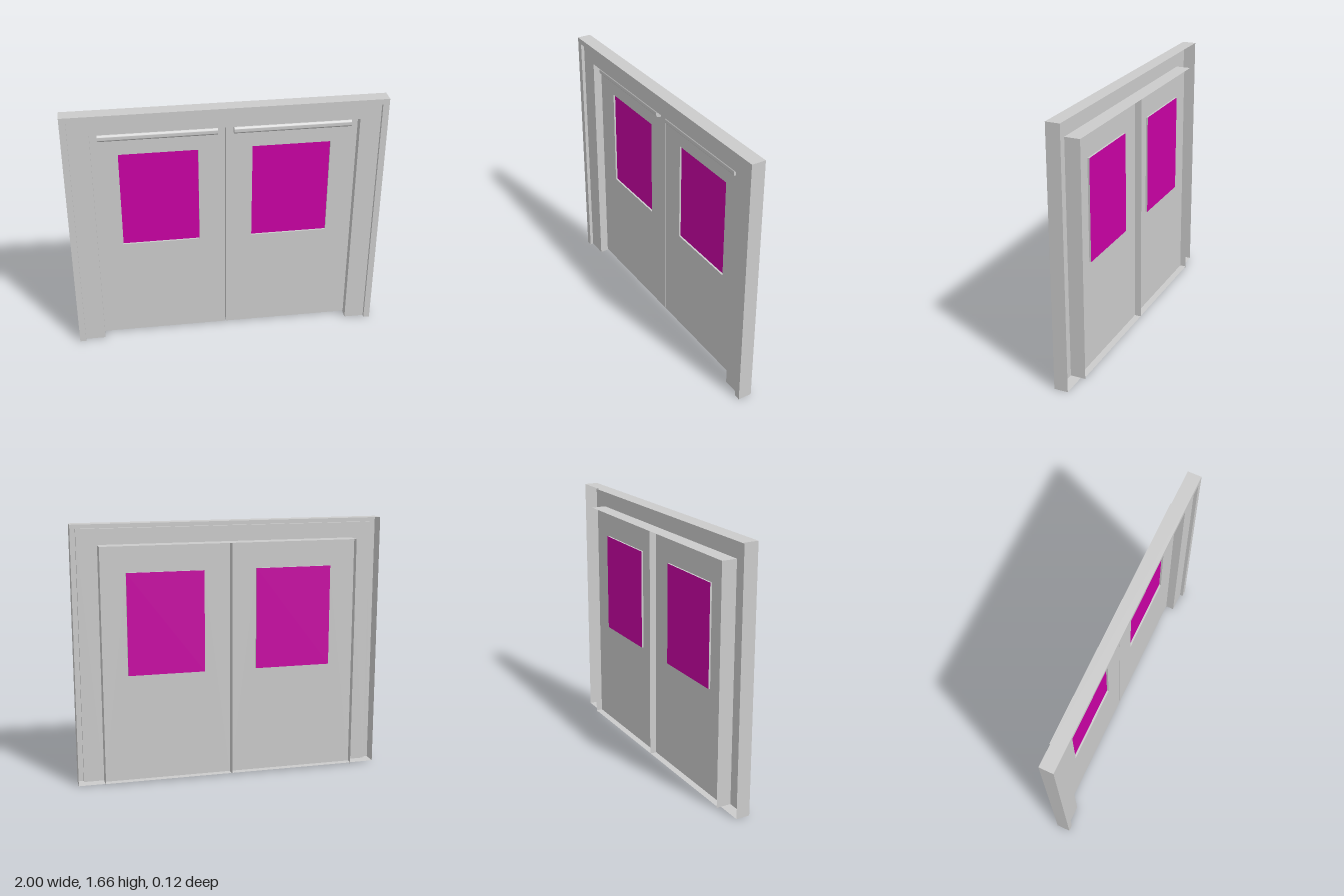
import * as THREE from 'three';
import { toCreasedNormals } from 'three/addons/utils/BufferGeometryUtils.js';

const GREY = new THREE.MeshStandardMaterial({ color: 0xcccccc, side: THREE.DoubleSide });
const GLASS = new THREE.MeshStandardMaterial({ color: 0xc900a4, side: THREE.DoubleSide });

const PANEL_Z = -0.018, PANE_Z = -0.03, BACK_Z = -0.06;
const DOOR_X = 0.83, DOOR_TOP = 1.53, DOOR_BOTTOM = 0.01, GAP = 0.003;

// Flat-faced sheet joining successive rings; a ring is { z, pts: [[x, y], ...] }
function sheet(rings, closed = false) {
  const pos = [];
  for (let r = 0; r < rings.length - 1; r++) {
    const a = rings[r], b = rings[r + 1], n = a.pts.length;
    for (let i = 0; i < (closed ? n : n - 1); i++) {
      const j = (i + 1) % n;
      const A = [...a.pts[i], a.z], B = [...a.pts[j], a.z];
      const C = [...b.pts[j], b.z], D = [...b.pts[i], b.z];
      pos.push(...A, ...B, ...C, ...A, ...C, ...D);
    }
  }
  const g = new THREE.BufferGeometry();
  g.setAttribute('position', new THREE.Float32BufferAttribute(pos, 3));
  g.computeVertexNormals();
  return g;
}

function add(parent, name, geometry, material = GREY) {
  const mesh = new THREE.Mesh(geometry, material);
  mesh.name = name;
  parent.add(mesh);
  return mesh;
}

const rect = (s, x0, x1, y0, y1) => [[s * x0, y0], [s * x1, y0], [s * x1, y1], [s * x0, y1]];
const shapeOf = pts => new THREE.Shape(pts.map(p => new THREE.Vector2(...p)));

// Pressed frame: stepped section [half width, top, z] carried up, over and down
function makeFrame() {
  const frame = new THREE.Group();
  frame.name = 'frame';
  const section = [
    [1, 1.665, -0.03], [1, 1.665, 0.06], [0.96, 1.63, 0.06],
    [0.96, 1.63, 0.038], [DOOR_X, DOOR_TOP, 0.038], [DOOR_X, DOOR_TOP, BACK_Z],
  ];
  add(frame, 'frameSheet', sheet(section.map(([x, y, z]) => (
    { z, pts: [[-x, 0], [-x, y], [x, y], [x, 0]] }))));

  // Caps under the two legs
  for (const s of [-1, 1]) {
    const outline = section.map(([x, , z]) => [s * x, -Math.max(z, -0.03)]);
    const cap = new THREE.ShapeGeometry(shapeOf(outline));
    cap.rotateX(-Math.PI / 2);
    add(frame, 'legCap', cap);
  }
  return frame;
}

// One door leaf; s = 1 for the model's left, -1 for its right
function makeDoor(s) {
  const door = new THREE.Group();
  door.name = s > 0 ? 'leftDoor' : 'rightDoor';
  const opening = rect(s, 0.17, 0.665, 0.705, 1.36);

  // Panel with a window opening
  const panel = shapeOf(rect(s, GAP, DOOR_X, DOOR_BOTTOM, DOOR_TOP));
  panel.holes.push(new THREE.Path(opening.map(p => new THREE.Vector2(...p))));
  add(door, 'doorPanel', new THREE.ShapeGeometry(panel).translate(0, 0, PANEL_Z));

  // Folded edges along the meeting side and the bottom
  const fold = [[s * GAP, DOOR_TOP], [s * GAP, DOOR_BOTTOM], [s * DOOR_X, DOOR_BOTTOM]];
  add(door, 'doorFold', sheet([{ z: PANEL_Z, pts: fold }, { z: BACK_Z, pts: fold }]));

  // Window set back in its reveal
  add(door, 'windowReveal', sheet([{ z: PANEL_Z, pts: opening }, { z: PANE_Z, pts: opening }], true));
  add(door, 'windowPane', new THREE.ShapeGeometry(shapeOf(opening)).translate(0, 0, PANE_Z), GLASS);

  // Round-fronted closer rail near the top
  const d = new THREE.Shape();
  d.moveTo(0, -0.025);
  d.lineTo(-0.012, -0.025);
  d.absarc(-0.012, 0, 0.025, Math.PI * 1.5, Math.PI / 2, true);
  d.lineTo(0, 0.025);
  const length = 0.735;
  const rail = new THREE.ExtrudeGeometry(d, { depth: length, bevelEnabled: false, curveSegments: 16 });
  rail.translate(0, 0, -length / 2).rotateY(Math.PI / 2);
  add(door, 'closerRail', toCreasedNormals(rail, 0.6))
    .position.set(s * (0.05 + length / 2), 1.491, PANEL_Z);
  return door;
}

export function createModel() {
  const model = new THREE.Group();
  model.name = 'doubleDoor';
  model.add(makeFrame(), makeDoor(1), makeDoor(-1));
  return model;
}
